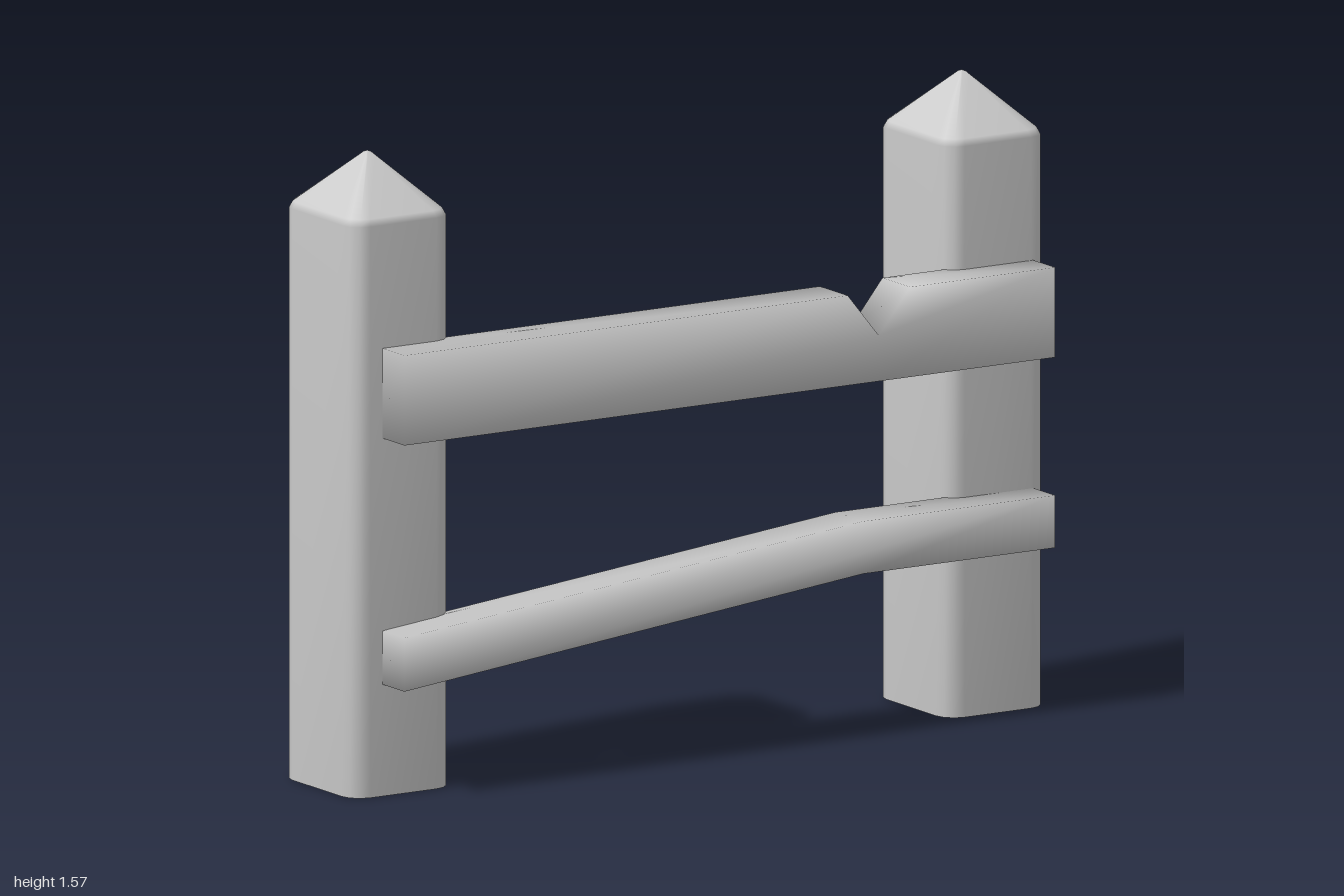
import * as THREE from 'three';
import { mergeVertices } from 'three/addons/utils/BufferGeometryUtils.js';

const material = new THREE.MeshStandardMaterial({ color: 0xcccccc });

// Outline of a rectangle with rounded corners, centred on the origin
function roundedOutline(halfW, halfD, radius, steps) {
  const points = [];
  [[1, 1], [-1, 1], [-1, -1], [1, -1]].forEach(([sx, sz], corner) => {
    for (let i = 0; i <= steps; i++) {
      const a = (corner + i / steps) * Math.PI / 2;
      points.push([
        sx * (halfW - radius) + radius * Math.cos(a),
        sz * (halfD - radius) + radius * Math.sin(a),
      ]);
    }
  });
  return points;
}

// Post with softened edges and a pointed cap, lofted from scaled outlines
function postGeometry() {
  const outline = roundedOutline(0.145, 0.162, 0.05, 3);
  const n = outline.length;
  const rings = [[0, 1], [1.415, 1], [1.432, 0.95], [1.553, 0.11], [1.562, 0.05]]; // height, scale
  const positions = [];
  const index = [];
  for (const [y, s] of rings) {
    for (const [x, z] of outline) positions.push(x * s, y, z * s);
  }
  for (let r = 0; r < rings.length - 1; r++) {
    for (let j = 0; j < n; j++) {
      const a = r * n + j, b = r * n + (j + 1) % n;
      index.push(a, a + n, b, b, a + n, b + n);
    }
  }
  // Base and tip
  const base = rings.length * n, tip = base + 1, last = base - n;
  positions.push(0, 0, 0, 0, 1.565, 0);
  for (let j = 0; j < n; j++) {
    const k = (j + 1) % n;
    index.push(base, j, k, tip, last + k, last + j);
  }
  const geometry = new THREE.BufferGeometry();
  geometry.setAttribute('position', new THREE.Float32BufferAttribute(positions, 3));
  geometry.setIndex(index);
  geometry.computeVertexNormals();
  return geometry;
}

// Rail cut from a plank silhouette, shaded softly across its edges
function railGeometry(points) {
  const shape = new THREE.Shape(points.map(([x, y]) => new THREE.Vector2(x, y)));
  let geometry = new THREE.ExtrudeGeometry(shape, { depth: 0.125, bevelEnabled: false });
  geometry.deleteAttribute('normal');
  geometry.deleteAttribute('uv');
  geometry = mergeVertices(geometry);
  geometry.computeVertexNormals();
  geometry.translate(0, 0, 0.085);
  return geometry;
}

export function createModel() {
  const group = new THREE.Group();
  group.name = 'brokenFence';

  const add = (name, geometry) => {
    const mesh = new THREE.Mesh(geometry, material);
    mesh.name = name;
    group.add(mesh);
    return mesh;
  };

  // Two matching posts
  const post = postGeometry();
  add('leftPost', post).position.set(0.855, 0, -0.05);
  add('rightPost', post).position.set(-0.855, 0, -0.05);

  // Upper rail with a split notch in its top edge
  add('upperRail', railGeometry([
    [-0.915, 0.887], [0.45, 0.887], [0.957, 0.887], [0.957, 1.11],
    [0.54, 1.11], [0.45, 1.0], [0.36, 1.11], [-0.915, 1.11],
  ]));

  // Lower rail, sagging at one end
  add('lowerRail', railGeometry([
    [-0.915, 0.277], [0.405, 0.415], [0.957, 0.415],
    [0.957, 0.545], [0.405, 0.545], [-0.915, 0.41],
  ]));

  return group;
}
